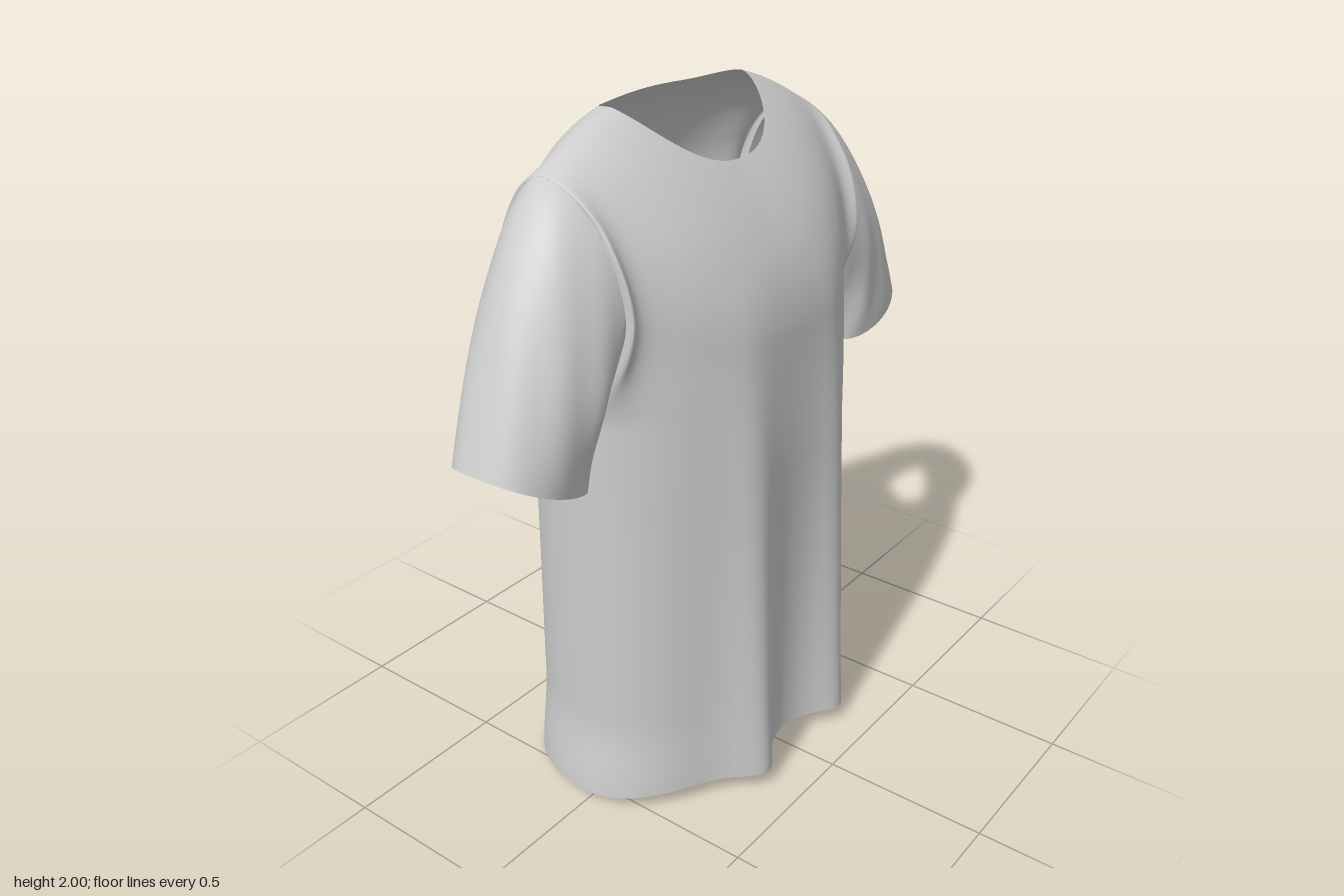
import * as THREE from 'three';
import { mergeGeometries, mergeVertices } from 'three/addons/utils/BufferGeometryUtils.js';

const { sin, cos, abs, min, max, pow, sqrt, exp, sign, PI } = Math;
const lerp = THREE.MathUtils.lerp;
const clamp01 = (t) => min(1, max(0, t));
const bump = (x, c, w) => exp(-(((x - c) / w) ** 2));

// Smooth interpolation through [key, value] pairs
function curve(pairs, k) {
  if (k <= pairs[0][0]) return pairs[0][1];
  for (let i = 1; i < pairs.length; i++) {
    const [k0, v0] = pairs[i - 1], [k1, v1] = pairs[i];
    if (k <= k1) return lerp(v0, v1, THREE.MathUtils.smoothstep(k, k0, k1));
  }
  return pairs[pairs.length - 1][1];
}

// Grid surface from point(i, j); flip reverses the facing
function grid(point, nu, nv, flip) {
  const pos = [], idx = [];
  for (let j = 0; j <= nv; j++) for (let i = 0; i <= nu; i++) pos.push(...point(i, j));
  for (let j = 0; j < nv; j++) for (let i = 0; i < nu; i++) {
    const a = j * (nu + 1) + i, b = a + 1, c = a + nu + 1, d = c + 1;
    idx.push(...(flip ? [a, d, b, a, c, d] : [a, b, d, a, d, c]));
  }
  const g = new THREE.BufferGeometry();
  g.setAttribute('position', new THREE.Float32BufferAttribute(pos, 3));
  g.setIndex(idx);
  return g;
}

const NECK = 0.285, TIP = 0.55, UNDERARM = 1.25, SEAM_Z = -0.01, SHOULDER_Z = -0.08;
const WIDTH = [[0, 0.575], [0.28, 0.545], [1.25, 0.54], [1.55, 0.525], [1.75, 0.535], [1.9, TIP]];
const FRONT = [[0, 0.335], [1.0, 0.335], [1.5, 0.32], [2, 0.31]];
const BACK = [[0, -0.398], [1.0, -0.384], [2, -0.375]];

// Height of the shoulder ridge, carried on smoothly across the neck opening
const ridge = (u) => 2.035 - 0.155 * pow(abs(u), 2.2);

// Upper border of a panel: neckline, then shoulder seam
function topY(front, u) {
  const q = abs(u) * TIP / NECK;
  if (q >= 1) return ridge(u);
  return front
    ? lerp(1.84, ridge(NECK / TIP), pow(q, 2.3))
    : ridge(u) - 0.052 * (1 - pow(q, 4));
}

// Point on the front or back panel at sideways position u (-1..1) and height y
function panelPoint(front, u, y) {
  const a = min(1, abs(u)), x = u * curve(WIDTH, y), ax = abs(x);
  const shape = front ? sqrt(1 - pow(a, 2.2)) : sqrt(1 - pow(a, 3));
  let z = lerp(SEAM_Z, curve(front ? FRONT : BACK, y), shape);
  // Armhole spreads the side edges apart
  z += (front ? 0.17 : -0.23) * pow(a, 16) * sin(PI / 2 * clamp01((y - UNDERARM) / 0.3));
  // Hanging folds, deepest at the hem
  const hang = clamp01(1 - y / 1.6);
  if (front) z += hang * (0.083 * bump(ax, 0.205, 0.085) - 0.025 * bump(x, 0, 0.1));
  else z += (1 - pow(a, 4)) * 0.015 * bump(ax, 0.36, 0.08) * clamp01(1.6 - y);
  // Roll over towards the neck and shoulders
  const d = clamp01((ridge(u) - y) / (front ? 0.65 - 0.3 * a * a : 0.45 - 0.15 * a * a));
  const roll = pow(sin(PI / 2 * d), front ? 0.85 - 0.35 * pow(a, 1.5) : 0.55);
  return [x, y, lerp(SHOULDER_Z, z, roll)];
}

// Panel columns crowd towards the neck corner and the side seam
const HALF = 44, ROWS = 100;
function column(i) {
  const k = abs(i - HALF) / HALF, un = NECK / TIP;
  const u = k <= 0.5 ? un * sin(PI * k) : un + (1 - un) * sin(PI * (k - 0.5));
  return i < HALF ? -u : u;
}

function panel(front) {
  return grid((i, j) => {
    const u = column(i), a = abs(u);
    const hem = front ? 0.055 - 0.025 * pow(a, 5) : 0.03 * pow(a, 4);
    return panelPoint(front, u, lerp(hem, topY(front, u), sin(PI / 2 * j / ROWS)));
  }, HALF * 2, ROWS, !front);
}

// Sleeve: runs from the armhole to the slanted cuff
function sleeve(side) {
  const N = 72, M = 36, tipY = ridge(1);
  const square = (v) => sign(v) * pow(abs(v), 0.85);
  return grid((i, j) => {
    const phi = (i % N) / N * 2 * PI, t = j / M, c = cos(phi), s = sin(phi);
    const A = panelPoint(s >= 0, 1, lerp(UNDERARM, tipY, (1 + c) / 2));
    const C = [0.762 + 0.162 * square(c), 1.172 + 0.068 * square(c) - 0.015 * s * s, 0.152 * square(s)];
    const up = max(0, c);
    const B = [
      (A[0] + C[0]) / 2 + 0.02 - 0.035 * up,
      (A[1] + C[1]) / 2 + 0.03 + 0.195 * up,
      (A[2] + C[2]) / 2 + 0.025 * s,
    ];
    const mid = [lerp(0.54, 0.76, t), lerp(1.55, 1.17, t), lerp(-0.06, 0, t)];
    // Soft creases that spiral around the arm
    const crease = 1 + sin(PI * t * 0.85) * (1 - 0.8 * up)
      * (0.02 * sin(4 * phi + 5 * t + side) + 0.02 * sin(7 * phi - 9 * t));
    const p = A.map((_, n) => {
      const q = (1 - t) ** 2 * A[n] + 2 * t * (1 - t) * B[n] + t * t * C[n];
      return mid[n] + (q - mid[n]) * crease;
    });
    return [p[0] * side, p[1], p[2]];
  }, N, M, side < 0);
}

export function createModel() {
  const shirt = new THREE.Group();
  shirt.name = 'shirt';
  const cloth = new THREE.MeshStandardMaterial({ color: 0xcccccc, side: THREE.DoubleSide });
  cloth.name = 'light grey cloth';

  const add = (name, geometry) => {
    const g = mergeVertices(geometry, 1e-5);
    g.computeVertexNormals();
    const mesh = new THREE.Mesh(g, cloth);
    mesh.name = name;
    shirt.add(mesh);
  };

  // Front and back panels joined along the side and shoulder seams
  add('body', mergeGeometries([panel(true), panel(false)]));
  add('leftSleeve', sleeve(1));
  add('rightSleeve', sleeve(-1));
  return shirt;
}
